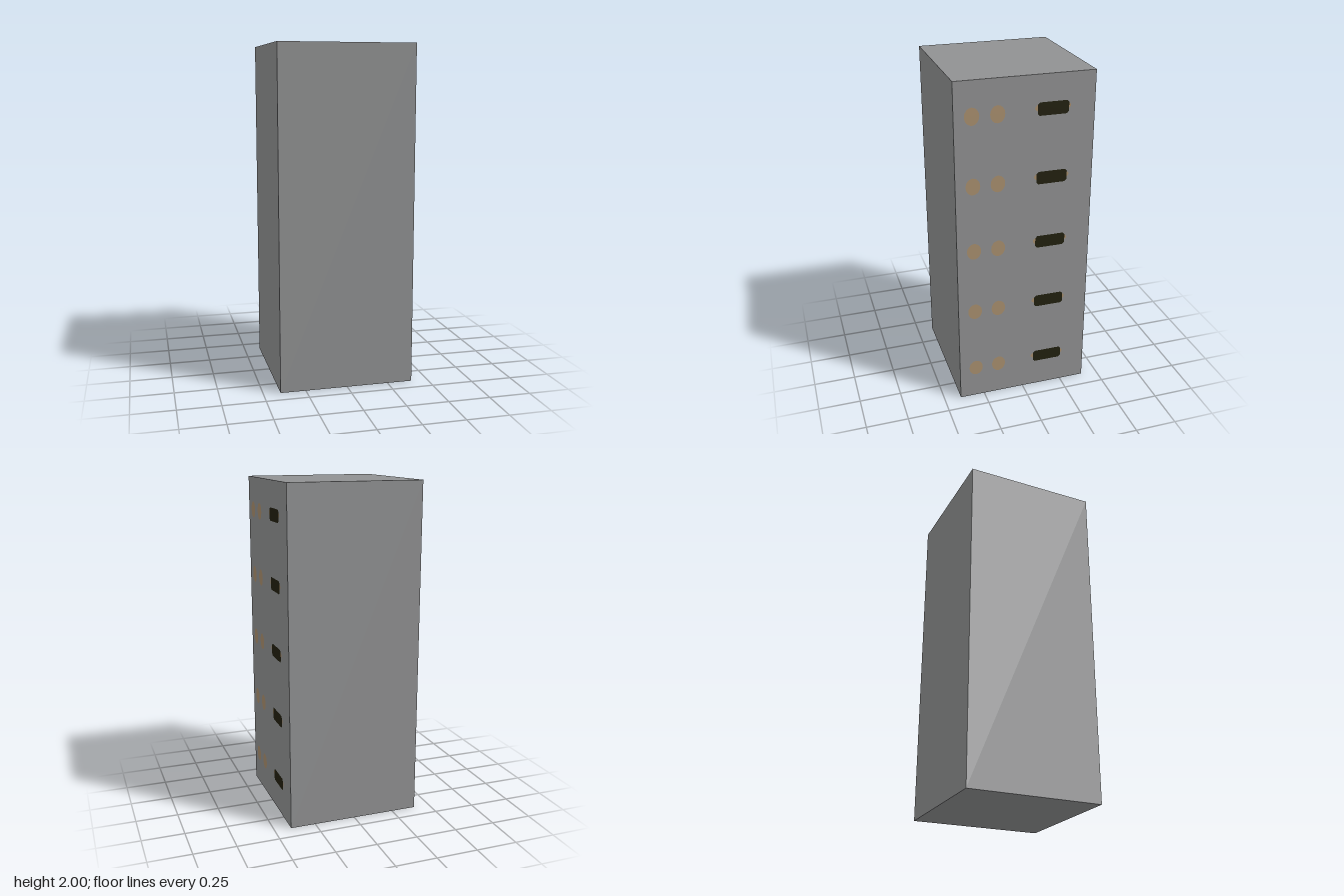
import * as THREE from 'three';

function material(name, color) {
  const m = new THREE.MeshStandardMaterial({ color });
  m.name = name;
  return m;
}

// Flat outline with cut corners, w wide and h high
function cutPlate(w, h, cut) {
  const a = w / 2, b = h / 2;
  return new THREE.ShapeGeometry(new THREE.Shape([
    [-a + cut, -b], [a - cut, -b], [a, -b + cut], [a, b - cut],
    [a - cut, b], [-a + cut, b], [-a, b - cut], [-a, -b + cut],
  ].map(([x, y]) => new THREE.Vector2(x, y))));
}

export function createModel() {
  const group = new THREE.Group();
  const grey = material('grey panel', 0x909192);
  const tan = material('tan spot', 0xa98f6e);
  const dark = material('dark slot', 0x22200f);

  // Plain tower body
  const body = new THREE.Mesh(new THREE.BoxGeometry(0.8, 2, 0.8), grey);
  body.name = 'body';
  body.position.y = 1;
  group.add(body);

  // Painted marks on the left (+x) face
  const spot = new THREE.CircleGeometry(1, 16).scale(0.042, 0.05, 1);
  const slot = cutPlate(0.18, 0.075, 0.012);
  const glow = cutPlate(0.205, 0.035, 0.012);
  const addMark = (name, geometry, mat, y, z, lift) => {
    const mesh = new THREE.Mesh(geometry, mat);
    mesh.name = name;
    mesh.rotation.y = Math.PI / 2;
    mesh.position.set(0.4 + lift, y, z);
    group.add(mesh);
  };

  // Five storeys, each with two spots and a slot
  for (let i = 0; i < 5; i++) {
    const y = 0.2 + i * 0.4;
    for (const z of [0.3, 0.157]) addMark('spot', spot, tan, y + 0.003, z, 0.001);
    addMark('slotRim', glow, tan, y + 0.015, -0.155, 0.001);
    addMark('slot', slot, dark, y + 0.008, -0.157, 0.002);
  }
  return group;
}
